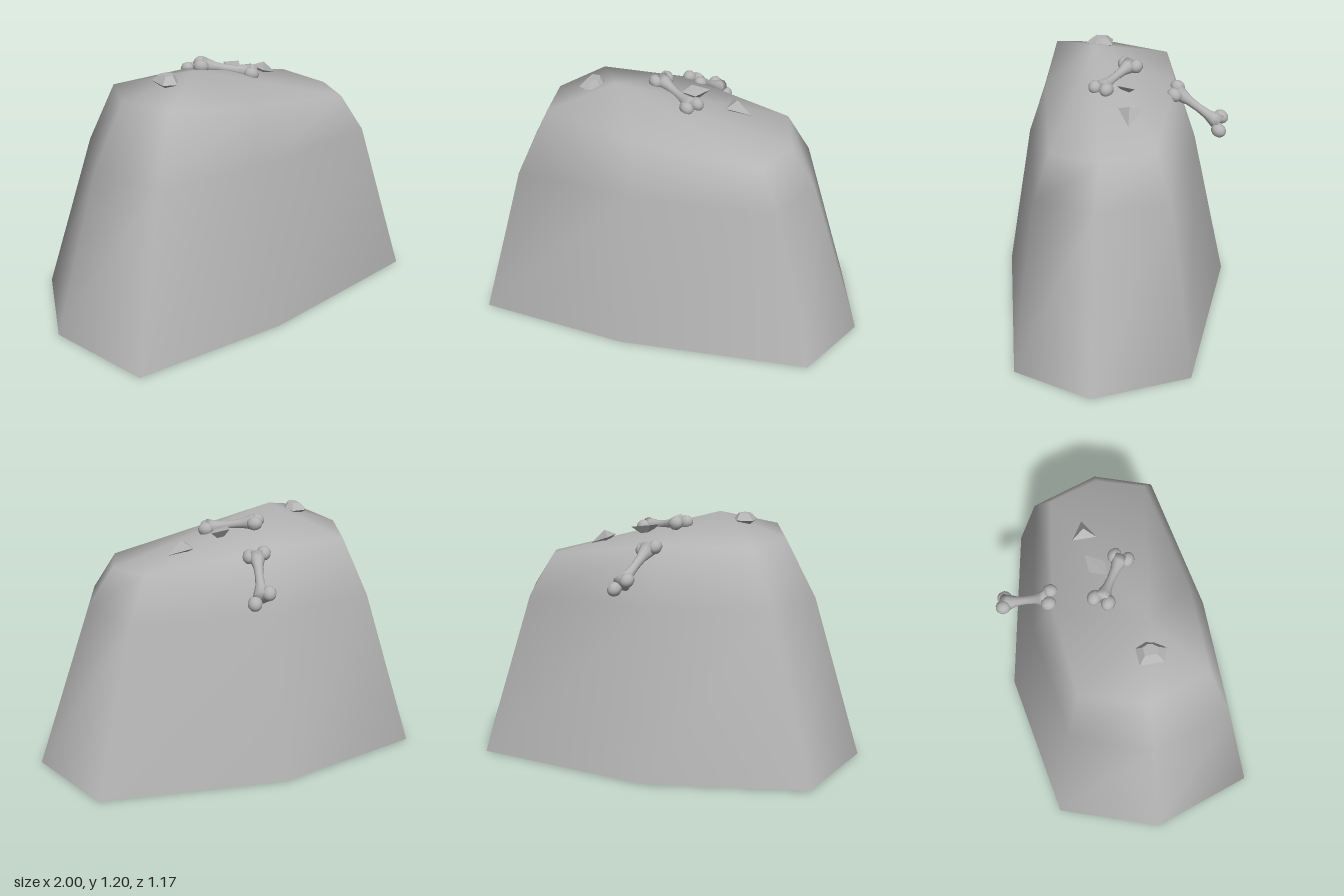
import * as THREE from 'three';
import { ConvexGeometry } from 'three/addons/geometries/ConvexGeometry.js';

const stone = new THREE.MeshStandardMaterial({ color: 0xb4b4b4, side: THREE.DoubleSide });
stone.name = 'pale grey stone';

// Mound: three eight-sided rings closed by a fan to an off-centre peak
function makeMound() {
  const rings = [
    [[-1, 0.005, 0.07], [-0.83, 0.005, 0.58], [-0.07, 0.005, 0.57], [0.85, 0.005, 0.39],
      [1, 0.005, 0.02], [0.82, 0, -0.43], [-0.07, 0.005, -0.59], [-0.83, 0.005, -0.44]],
    [[-0.755, 0.8, 0.06], [-0.64, 0.8, 0.44], [-0.07, 0.8, 0.43], [0.62, 0.8, 0.3],
      [0.715, 0.8, 0.02], [0.6, 0.8, -0.31], [-0.07, 0.8, -0.41], [-0.61, 0.8, -0.32]],
    [[-0.6, 1.09, 0.05], [-0.51, 1.12, 0.34], [-0.07, 1.05, 0.34], [0.52, 0.98, 0.24],
      [0.59, 0.98, 0.01], [0.5, 1.005, -0.23], [-0.07, 1.08, -0.3], [-0.5, 1.08, -0.25]],
  ];
  const points = [...rings.flat(), [-0.26, 1.2, 0.11]];
  const index = [];
  for (let i = 0; i < 8; i++) {
    const j = (i + 1) % 8;
    for (const r of [0, 8]) {
      index.push(r + i, r + j, r + 8 + j, r + i, r + 8 + j, r + 8 + i);
    }
    index.push(16 + i, 16 + j, 24);
  }
  const geo = new THREE.BufferGeometry();
  geo.setAttribute('position', new THREE.Float32BufferAttribute(points.flat(), 3));
  geo.setIndex(index);
  geo.computeVertexNormals();
  const mesh = new THREE.Mesh(geo, stone);
  mesh.name = 'mound';
  return mesh;
}

// Bone: flared shaft with two rounded knobs at each end
function makeBone(name, knobsA, knobsB) {
  const bone = new THREE.Group();
  bone.name = name;
  const up = new THREE.Vector3(0, 1, 0);
  const middle = ([p, q]) => new THREE.Vector3(...p).add(new THREE.Vector3(...q)).multiplyScalar(0.5);
  const a = middle(knobsA), b = middle(knobsB);
  const axis = b.clone().sub(a);
  const profile = [[0, 0], [0.042, 0.02], [0.034, 0.14], [0.023, 0.3], [0.02, 0.5],
    [0.023, 0.7], [0.034, 0.86], [0.042, 0.98], [0, 1]]
    .map(([r, t]) => new THREE.Vector2(r, t * axis.length()));
  const shaft = new THREE.Mesh(new THREE.LatheGeometry(profile, 10), stone);
  shaft.name = 'boneShaft';
  shaft.position.copy(a);
  shaft.quaternion.setFromUnitVectors(up, axis.clone().normalize());
  bone.add(shaft);
  for (const p of [...knobsA, ...knobsB]) {
    const knob = new THREE.Mesh(new THREE.SphereGeometry(0.034, 10, 8), stone);
    knob.name = 'boneKnob';
    knob.position.set(...p);
    knob.quaternion.copy(shaft.quaternion);
    knob.scale.set(1, 1.1, 0.95);
    bone.add(knob);
  }
  return bone;
}

// Faceted rock chip from a few corners
function makeRock(name, corners) {
  const mesh = new THREE.Mesh(new ConvexGeometry(corners.map((c) => new THREE.Vector3(...c))), stone);
  mesh.name = name;
  return mesh;
}

export function createModel() {
  const model = new THREE.Group();
  model.name = 'bonyMound';
  model.add(makeMound());

  model.add(makeBone('backBone',
    [[-0.05, 1.075, -0.315], [0.015, 1.06, -0.3]],
    [[0.015, 0.955, -0.53], [0.078, 0.91, -0.52]]));
  model.add(makeBone('topBone',
    [[-0.125, 1.16, -0.05], [-0.09, 1.16, -0.108]],
    [[0.085, 1.12, 0.075], [0.115, 1.12, 0.02]]));

  // Rounded pebble near the peak
  const rim = [[-0.44, 0.035], [-0.36, 0.03], [-0.335, 0.08], [-0.345, 0.12], [-0.38, 0.17], [-0.44, 0.145]];
  model.add(makeRock('pebble', [
    ...rim.map(([x, z]) => [x, 1.165, z]),
    ...rim.map(([x, z]) => [-0.38 + (x + 0.38) * 0.5, 1.198, 0.09 + (z - 0.09) * 0.5]),
    [-0.39, 1.12, 0.1],
  ]));
  // Pointed chip on the right slope
  model.add(makeRock('pointedChip', [
    [0.24, 1.085, -0.16], [0.24, 1.085, -0.045], [0.35, 1.045, -0.1], [0.28, 1.112, -0.1], [0.28, 1.04, -0.1],
  ]));
  // Flat chip beside the bone
  model.add(makeRock('flatChip', [
    [0.04, 1.145, -0.11], [0.135, 1.135, -0.115], [0.09, 1.13, -0.03], [0.02, 1.14, -0.03], [0.07, 1.08, -0.07],
  ]));
  return model;
}
